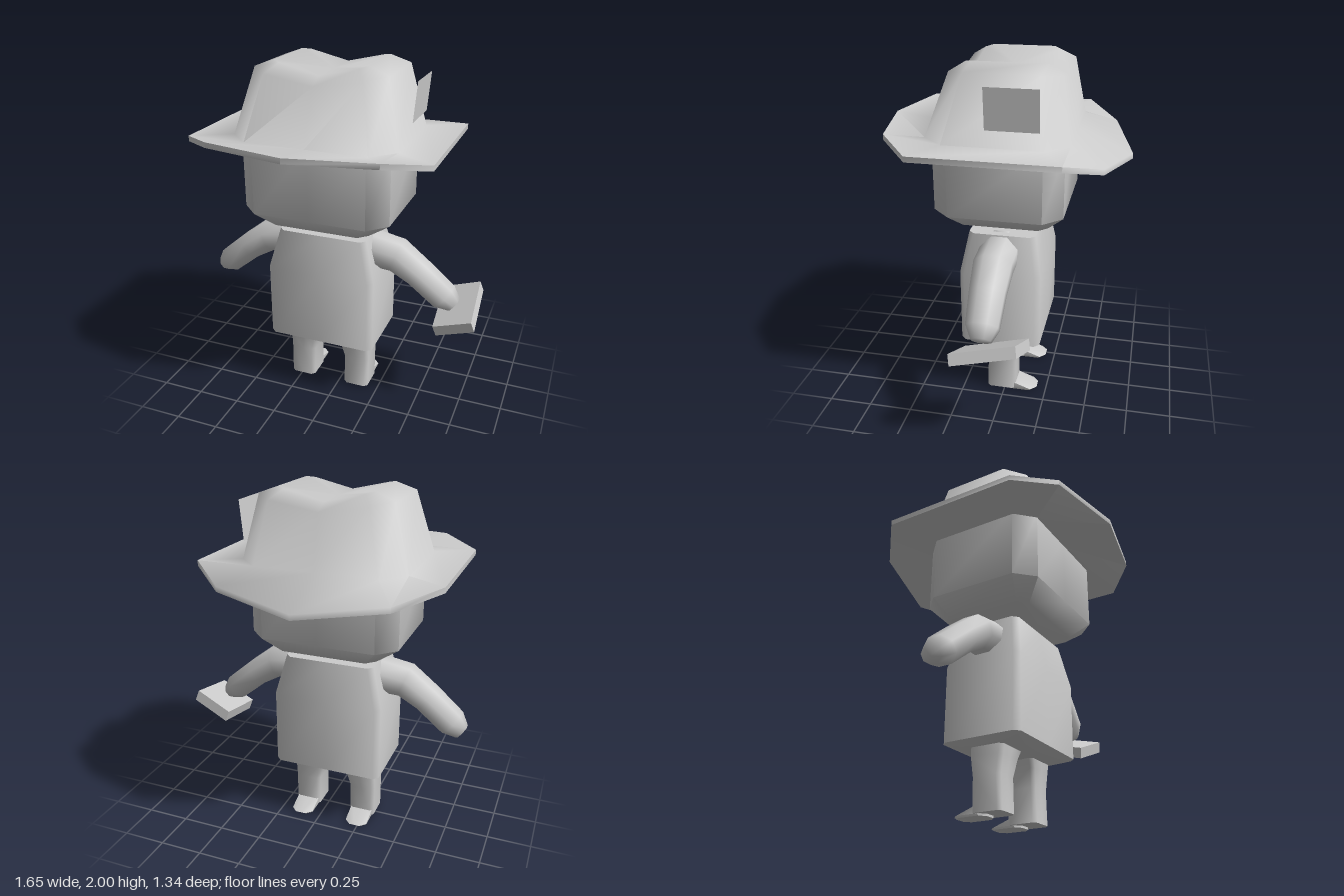
import * as THREE from 'three';
import { toCreasedNormals } from 'three/addons/utils/BufferGeometryUtils.js';

const CX = -0.06; // the figure's own middle plane

// Skin a stack of rings; a ring of one point closes the end
function loft(rings, crease) {
  const pos = [];
  const tri = (a, b, c) => { if (a !== b && b !== c && a !== c) pos.push(...a, ...b, ...c); };
  for (let j = 0; j < rings.length - 1; j++) {
    const lo = rings[j], hi = rings[j + 1], n = Math.max(lo.length, hi.length);
    for (let i = 0; i < n; i++) {
      const a = lo[i % lo.length], b = lo[(i + 1) % n % lo.length];
      const c = hi[(i + 1) % n % hi.length], d = hi[i % hi.length];
      tri(a, b, c);
      tri(a, c, d);
    }
  }
  const geo = new THREE.BufferGeometry();
  geo.setAttribute('position', new THREE.Float32BufferAttribute(pos, 3));
  return toCreasedNormals(geo, crease);
}

// Mirrored ten-point ring from its right half, y being a number or a rule
function mirrorRing(half, y) {
  const [f, b, bc, bm, fm, fc] = half;
  const m = ([x, z]) => [-x, z];
  return [f, b, bc, bm, m(bc), m(b), m(f), m(fc), fm, fc]
    .map(([x, z]) => [x, typeof y === 'function' ? y(x, z) : y, z]);
}

// Rectangle with cut corners
const ring = (hx, zb, zf, c, y) => mirrorRing(
  [[hx, zf - c], [hx, zb + c], [hx - c, zb], [0, zb], [0, zf], [hx - c, zf]], y);

export function createModel() {
  const group = new THREE.Group();
  const grey = new THREE.MeshStandardMaterial({ color: 0xcccccc });
  grey.name = 'plain grey';
  grey.side = THREE.DoubleSide;
  const add = (name, geo, x = CX, mirror = false) => {
    const mesh = new THREE.Mesh(geo, grey);
    mesh.name = name;
    mesh.position.x = x;
    if (mirror) mesh.scale.x = -1;
    group.add(mesh);
    return mesh;
  };

  // Head with rounded-off chin
  add('head', loft([
    [[0, 1.1, 0.01]],
    ring(0.29, -0.25, 0.27, 0.05, 1.105),
    ring(0.42, -0.34, 0.37, 0.1, 1.2),
    ring(0.42, -0.34, 0.37, 0.1, 1.6),
  ], 1.1));

  // Hat: brim underside, rim, then creased crown
  const brim = [[0.67, 0.4], [0.67, -0.37], [0.46, -0.55], [0, -0.67], [0, 0.67], [0.46, 0.58]];
  const brimY = (x, z) => (z > 0.5 ? 1.65 : z < -0.6 ? 1.485 : z < -0.5 ? 1.54 : 1.61);
  add('hat', loft([
    ring(0.41, -0.33, 0.36, 0.1, 1.575),
    mirrorRing(brim, (x, z) => brimY(x, z) - 0.03),
    mirrorRing(brim, brimY),
    ring(0.46, -0.37, 0.4, 0.12, 1.61),
    ring(0.37, -0.31, 0.28, 0.1, (x) => 1.9 + 0.06 * Math.abs(x) / 0.37),
    ring(0.26, -0.23, 0.2, 0.04, (x) => 1.94 + 0.06 * Math.abs(x) / 0.26),
    [[0, 1.94, -0.015]],
  ], 1.4));

  // Card tucked beside the crown
  const card = new THREE.PlaneGeometry(0.28, 0.22);
  card.rotateY(Math.PI / 2);
  card.rotateZ(-0.09);
  card.translate(0, 1.81, -0.09);
  add('hatCard', card, 0.411);

  // Torso, narrowing at the shoulders
  add('torso', loft([
    [[0, 0.345, 0.01]],
    ring(0.25, -0.12, 0.15, 0.03, 0.35),
    ring(0.32, -0.22, 0.245, 0.03, 0.378),
    ring(0.32, -0.22, 0.245, 0.03, 0.81),
    ring(0.26, -0.18, 0.2, 0.03, 1.045),
    [[0, 1.045, 0.01]],
  ], 1.0));

  // Arms: x, y, z, bend, radius, depth radius
  const armRings = [
    [0.2, 0.945, 0.02, 0, 0.105, 0.11],
    [0.4, 0.92, 0.025, -0.35, 0.093, 0.11],
    [0.53, 0.83, 0.025, -0.7, 0.08, 0.1],
    [0.68, 0.705, 0.02, -0.7, 0.078, 0.09],
    [0.737, 0.66, 0.015, -0.7, 0.045, 0.055],
  ].map(([x, y, z, a, r, rz]) => Array.from({ length: 8 }, (_, i) => {
    const t = (i + 0.5) * Math.PI / 4, n = r * Math.cos(t) * 1.06;
    return [x - Math.sin(a) * n, y + Math.cos(a) * n, z + rz * Math.sin(t) * 1.06];
  }));
  const arm = loft([...armRings, [[0.742, 0.656, 0.015]]], 1.2);
  add('leftArm', arm);
  add('rightArm', arm, CX, true);

  // Legs, flaring inward at the hips, with flat toes
  const shift = (points, dx) => points.map(([x, y, z]) => [x + dx, y, z]);
  const leg = loft([
    [[0, 0.015, 0.02]],
    ring(0.076, -0.07, 0.105, 0.02, 0.015),
    ring(0.078, -0.07, 0.098, 0.02, 0.2),
    shift(ring(0.09, -0.085, 0.11, 0.02, 0.3), -0.013),
    shift(ring(0.11, -0.09, 0.12, 0.02, 0.38), -0.033),
  ], 1.0);
  const toe = loft([
    [[0, 0.003, -0.1]],
    ring(0.062, -0.18, 0, 0.03, 0.003),
    ring(0.066, -0.195, 0, 0.035, 0.014),
    ring(0.066, -0.08, 0, 0.02, 0.05),
    [[0, 0.05, -0.04]],
  ], 0.8);
  for (const [side, s] of [['left', 1], ['right', -1]]) {
    add(side + 'Leg', leg, CX + s * 0.176, s < 0);
    add(side + 'Toe', toe, CX + s * 0.176, s < 0);
  }

  // Tilted book in the left hand
  const book = new THREE.BoxGeometry(1, 1, 1);
  book.applyMatrix4(new THREE.Matrix4().makeBasis(
    new THREE.Vector3(0.22, 0.09, 0.03),
    new THREE.Vector3(-0.02, 0.06, 0.01),
    new THREE.Vector3(0.02, -0.08, 0.345)));
  book.translate(0, 0.612, -0.035);
  add('book', book, 0.697);

  return group;
}
